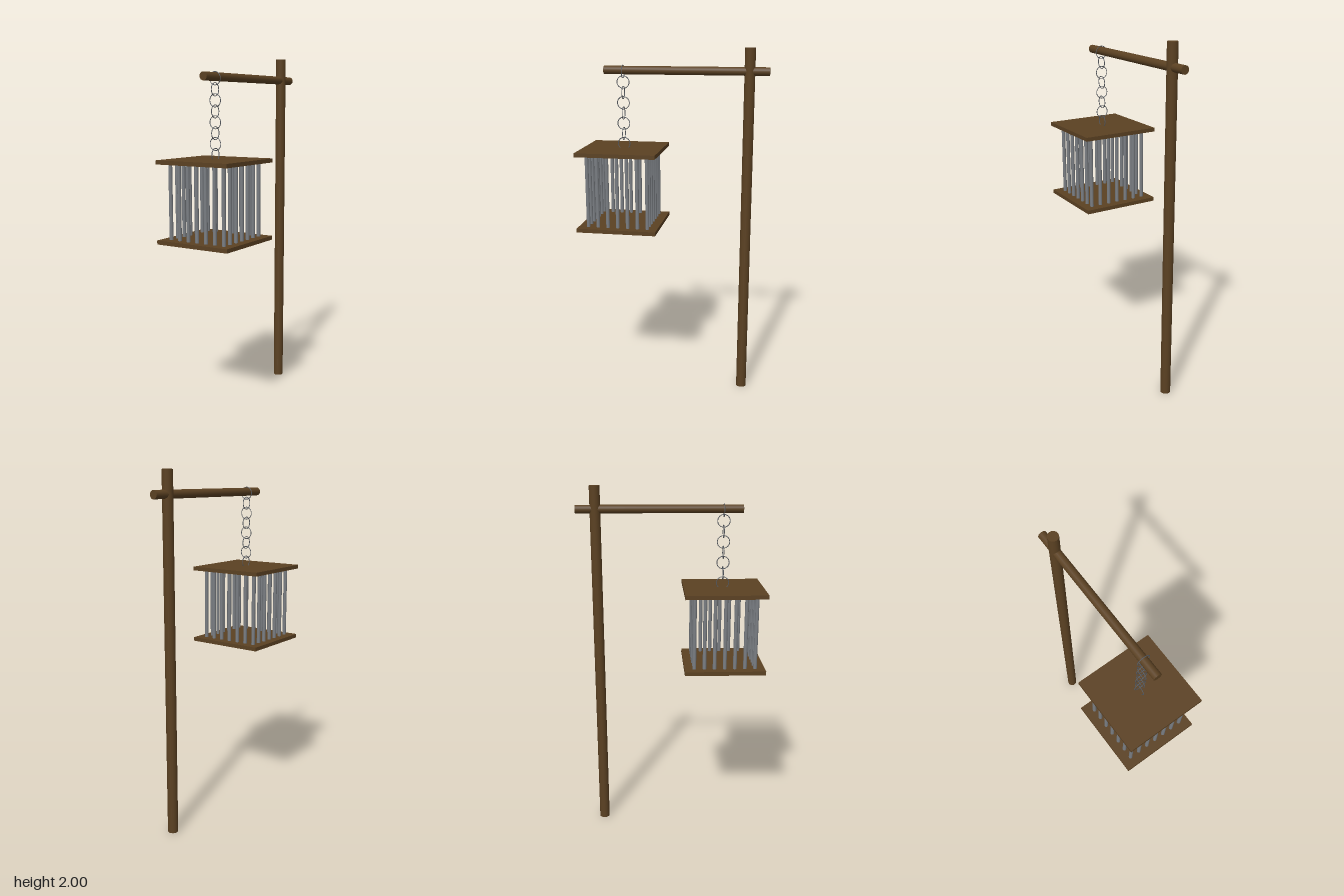
import * as THREE from 'three';

const wood = new THREE.MeshStandardMaterial({ color: 0x5b4122 });
wood.name = 'dark wood';
const iron = new THREE.MeshStandardMaterial({ color: 0x7a7e83 });
iron.name = 'iron';
const chainIron = new THREE.MeshStandardMaterial({ color: 0x5a5e64 });
chainIron.name = 'chain iron';

function add(parent, name, geometry, material, x, y, z) {
  const mesh = new THREE.Mesh(geometry, material);
  mesh.name = name;
  mesh.position.set(x, y, z);
  parent.add(mesh);
  return mesh;
}

export function createModel() {
  const model = new THREE.Group();
  model.name = 'hangingCage';

  // Upright post and the beam that passes through it
  add(model, 'post', new THREE.CylinderGeometry(0.029, 0.029, 2, 16), wood, 0, 1, -0.412);
  const beam = add(model, 'beam', new THREE.CylinderGeometry(0.023, 0.023, 0.916, 16), wood, 0, 1.875, -0.062);
  beam.rotation.x = Math.PI / 2;

  // Chain: links alternate by a quarter turn, the first loops round the beam
  const chain = new THREE.Group();
  chain.name = 'chain';
  chain.position.z = 0.29;
  model.add(chain);
  const link = new THREE.TorusGeometry(0.0345, 0.0023, 6, 24);
  for (let i = 0; i < 8; i++) {
    const ring = add(chain, 'chainLink', link, chainIron, 0, 1.867 - i * 0.0573, 0);
    ring.rotation.y = (i % 2) * Math.PI / 2;
  }

  // Cage: two wooden plates
  const cage = new THREE.Group();
  cage.name = 'cage';
  cage.position.z = 0.295;
  model.add(cage);
  const plate = new THREE.BoxGeometry(0.45, 0.022, 0.45);
  add(cage, 'cageFloor', plate, wood, 0, 1.002, 0);
  add(cage, 'cageRoof', plate, wood, 0, 1.431, 0);

  // Seven bars along each side, sharing the corners
  const bar = new THREE.CylinderGeometry(0.0105, 0.0105, 0.41, 12);
  for (let i = 0; i < 7; i++) {
    for (let j = 0; j < 7; j++) {
      if (i % 6 && j % 6) continue;
      add(cage, 'cageBar', bar, iron, (i - 3) * 0.0567, 1.2165, (j - 3) * 0.0567);
    }
  }
  return model;
}
